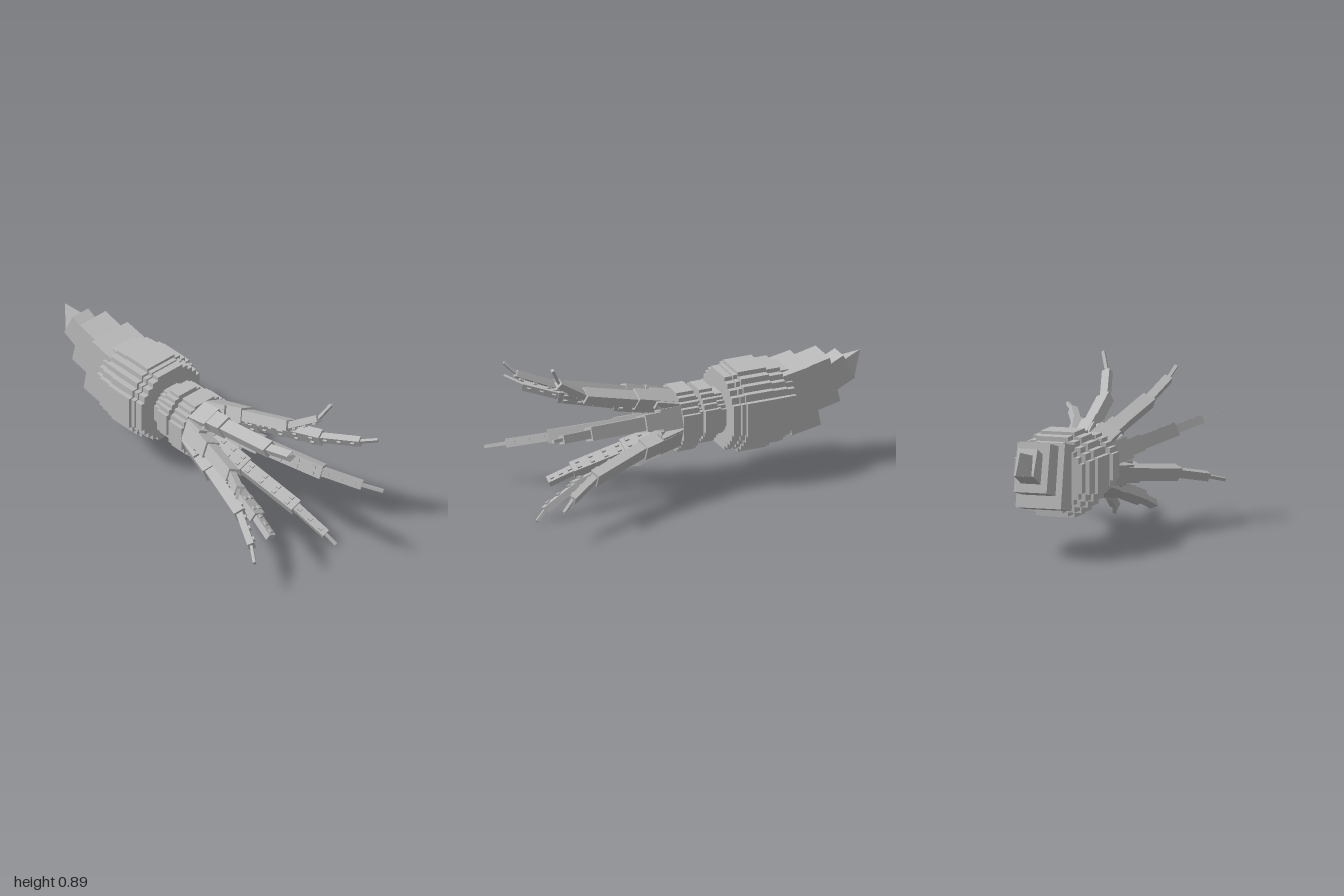
import * as THREE from 'three';

const CX = -0.017, CY = 0.41, ARM_Y = 0.401;

export function createModel() {
  const model = new THREE.Group();
  const grey = new THREE.MeshStandardMaterial({ color: 0xb8b8b8 });
  grey.name = 'plain grey';
  grey.side = THREE.DoubleSide;

  function box(parent, name, w, h, d, x, y, z) {
    const mesh = new THREE.Mesh(new THREE.BoxGeometry(w, h, d), grey);
    mesh.name = name;
    mesh.position.set(x, y, z);
    parent.add(mesh);
    return mesh;
  }

  // Crossed blocks that give a stepped, rounded drum; each section is [radius, front z, back z]
  function steppedBody(name, y, sections) {
    const group = new THREE.Group();
    group.name = name;
    for (const [r, z0, z1] of sections) {
      for (const [a, b] of [[1, 0.42], [0.89, 0.6], [0.75, 0.75], [0.6, 0.89], [0.42, 1]]) {
        box(group, name + 'Block', a * r * 2, b * r * 2, z0 - z1, CX, y, (z0 + z1) / 2);
      }
    }
    model.add(group);
  }

  // Mantle, widest in the middle, with a front rim
  steppedBody('mantle', CY, [
    [0.228, -0.245, -0.41],
    [0.212, -0.22, -0.495],
    [0.187, -0.18, -0.547],
    [0.208, -0.172, -0.215],
  ]);

  // Head, neck and collar
  steppedBody('head', 0.4, [[0.168, 0.1, 0]]);
  steppedBody('neck', 0.4, [[0.115, 0.01, -0.18]]);
  steppedBody('collar', 0.408, [[0.152, -0.035, -0.11]]);
  for (const side of [-1, 1]) {
    box(model, 'eye', 0.03, 0.14, 0.14, CX + side * 0.108, 0.39, -0.07);
  }
  const siphon = box(model, 'siphon', 0.07, 0.04, 0.11, CX, 0.285, -0.05);
  siphon.rotation.x = 0.6;

  // Tail blocks curling upwards: [width, height, length, y, z, tilt]
  const tail = new THREE.Group();
  tail.name = 'tail';
  for (const [w, h, d, y, z, tilt] of [
    [0.255, 0.35, 0.17, 0.424, -0.598, 0.19],
    [0.185, 0.265, 0.2, 0.475, -0.715, 0.23],
    [0.11, 0.155, 0.16, 0.505, -0.84, 0.46],
  ]) {
    box(tail, 'tailBlock', w, h, d, CX, y, z).rotation.x = tilt;
  }
  model.add(tail);

  // Four-sided points used for the tail tip and the beak
  function pyramid(name, w, h, length, y, z, tilt) {
    const geo = new THREE.ConeGeometry(Math.SQRT1_2, 1, 4).toNonIndexed();
    geo.rotateY(Math.PI / 4);
    geo.computeVertexNormals();
    geo.scale(w, length, h);
    const mesh = new THREE.Mesh(geo, grey);
    mesh.name = name;
    mesh.position.set(CX, y, z);
    mesh.rotation.x = tilt;
    model.add(mesh);
  }
  pyramid('tailTip', 0.09, 0.13, 0.13, 0.561, -0.951, -Math.PI / 2 + 0.72);
  pyramid('beak', 0.04, 0.055, 0.05, 0.4, 0.122, Math.PI / 2);

  // Eight-sided web opening forwards between the arms
  const webGeo = new THREE.CylinderGeometry(0.195, 0.068, 0.14, 8, 1, true).toNonIndexed();
  webGeo.rotateX(Math.PI / 2);
  webGeo.computeVertexNormals();
  const web = new THREE.Mesh(webGeo, grey);
  web.name = 'armWeb';
  web.position.set(CX, ARM_Y, 0.17);
  model.add(web);

  // A group whose z axis runs between two joints, given as distance from the body axis and depth
  function between(parent, name, r0, z0, r1, z1) {
    const group = new THREE.Group();
    group.name = name;
    group.position.set((r0 + r1) / 2, 0, (z0 + z1) / 2);
    group.rotation.y = Math.atan2(r1 - r0, z1 - z0);
    parent.add(group);
    return group;
  }

  // Arms: [angle, joint distances from the body axis, joint depths], counter-clockwise from +x
  const arms = [
    [22.5, [0.11, 0.19, 0.31, 0.41, 0.468], [0.08, 0.34, 0.7, 0.9, 0.975]],
    [67.5, [0.11, 0.19, 0.285, 0.41, 0.515], [0.08, 0.34, 0.65, 0.82, 0.875]],
    [112.5, [0.11, 0.18, 0.275, 0.37, 0.435], [0.08, 0.34, 0.72, 0.93, 0.99]],
    [157.5, [0.11, 0.195, 0.305, 0.41, 0.497], [0.08, 0.34, 0.62, 0.78, 0.857]],
    [202.5, [0.11, 0.19, 0.3, 0.41, 0.48], [0.08, 0.34, 0.68, 0.88, 0.975]],
    [247.5, [0.11, 0.18, 0.27, 0.325], [0.08, 0.34, 0.62, 0.75]],
    [292.5, [0.11, 0.18, 0.27, 0.365, 0.415], [0.08, 0.34, 0.7, 0.89, 0.945]],
    [337.5, [0.11, 0.19, 0.335, 0.46, 0.54], [0.08, 0.34, 0.68, 0.86, 0.945]],
  ];
  const widths = [0.09, 0.074, 0.046, 0.018];
  const depths = [0.08, 0.058, 0.037, 0.016];
  const suckerRows = [4, 4, 3, 0];

  for (const [angle, r, z] of arms) {
    const arm = new THREE.Group();
    arm.name = 'arm';
    arm.position.set(CX, ARM_Y, 0);
    arm.rotation.z = THREE.MathUtils.degToRad(angle);

    // Wide outer pad over the root of the arm
    box(between(arm, 'armRoot', 0.125, 0.08, 0.173, 0.24), 'armRootBlock', 0.05, 0.12, 0.167, 0, 0, 0);

    for (let i = 0; i < r.length - 1; i++) {
      const length = Math.hypot(r[i + 1] - r[i], z[i + 1] - z[i]) + 0.015;
      const segment = between(arm, 'armSegment', r[i], z[i], r[i + 1], z[i + 1]);
      box(segment, 'armBlock', depths[i], widths[i], length, 0, 0, 0);

      // Suckers on the inner face, in two columns near the base and one further out
      const rows = suckerRows[i];
      const columns = i < 2 ? [-0.25, 0.25] : [0];
      for (let k = 0; k < rows; k++) {
        for (const c of columns) {
          box(segment, 'sucker', 0.012, 0.02, 0.022,
            -depths[i] / 2 - 0.004, c * widths[i], length * ((k + 0.5) / rows - 0.5));
        }
      }
    }
    model.add(arm);
  }
  return model;
}
